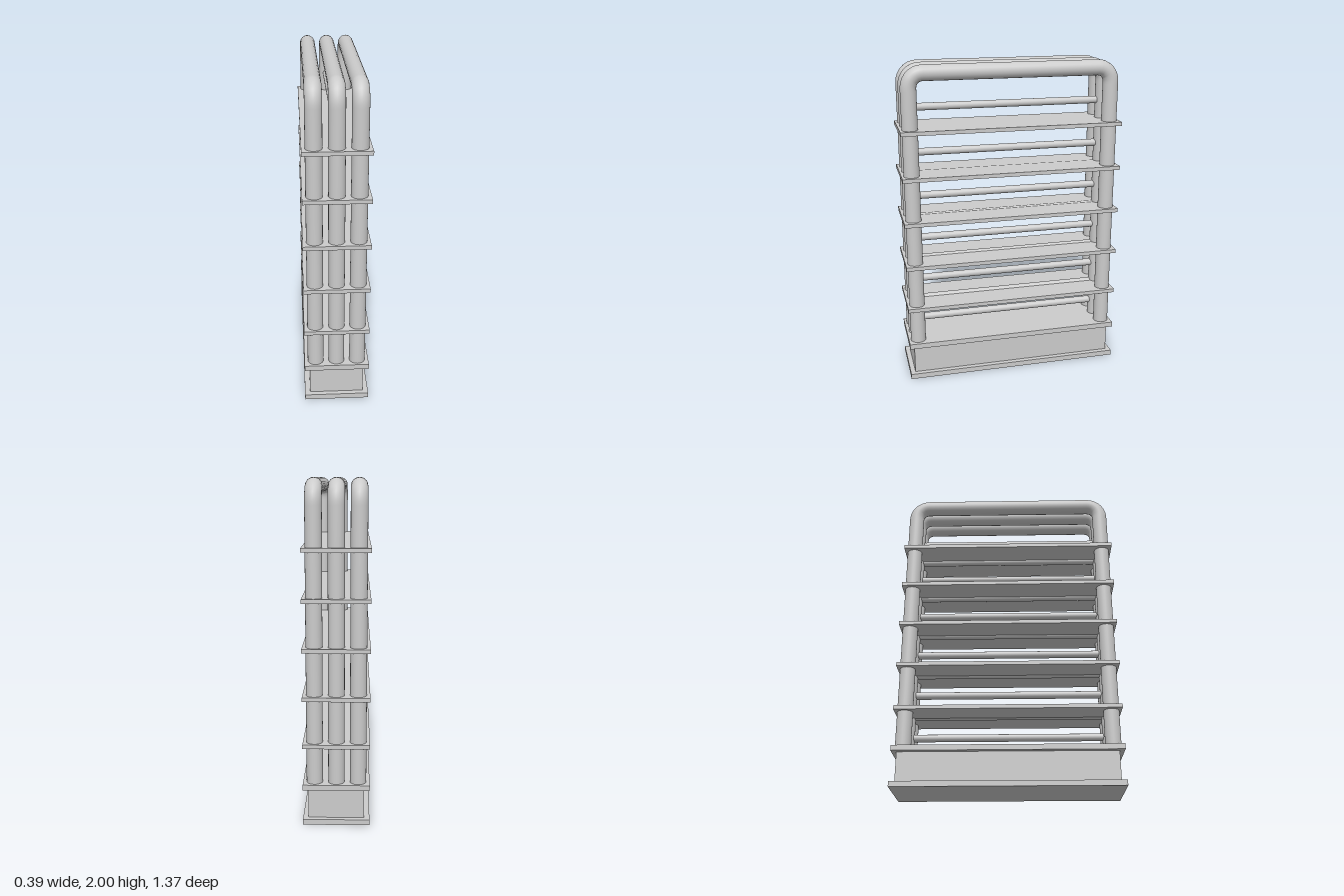
import * as THREE from 'three';

const material = new THREE.MeshStandardMaterial({ color: 0xcccccc, side: THREE.DoubleSide });

function add(parent, name, geometry, x, y, z) {
  const mesh = new THREE.Mesh(geometry, material);
  mesh.name = name;
  mesh.position.set(x, y, z);
  parent.add(mesh);
  return mesh;
}

// Upside-down U in the yz plane with rounded corners
function hoopPath(halfSpan, bottom, top, bend) {
  const v = (y, z) => new THREE.Vector3(0, y, z);
  const path = new THREE.CurvePath();
  const arc = (side) => {
    const points = [];
    for (let i = 0; i <= 10; i++) {
      const a = (i / 10) * Math.PI / 2;
      points.push(v(top - bend + bend * Math.sin(a), side * (halfSpan - bend + bend * Math.cos(a))));
    }
    return side > 0 ? points : points.reverse();
  };
  const points = [v(bottom, halfSpan), ...arc(1), ...arc(-1), v(bottom, -halfSpan)];
  for (let i = 1; i < points.length; i++) path.add(new THREE.LineCurve3(points[i - 1], points[i]));
  return path;
}

export function createModel() {
  const model = new THREE.Group();
  model.name = 'shelfRack';

  // Plinth: body between two wider plates
  add(model, 'basePlate', new THREE.BoxGeometry(0.39, 0.033, 1.37), 0, 0.0165, 0);
  add(model, 'baseBody', new THREE.BoxGeometry(0.326, 0.182, 1.31), 0, 0.124, 0);
  add(model, 'baseTopPlate', new THREE.BoxGeometry(0.39, 0.033, 1.37), 0, 0.2305, 0);

  // Three bent tube hoops
  const hoop = new THREE.TubeGeometry(hoopPath(0.623, 0.24, 1.952, 0.085), 240, 0.048, 24, false);
  [-0.127, 0, 0.127].forEach((x) => add(model, 'tubeHoop', hoop, x, 0, 0));

  // Thin shelves
  const shelf = new THREE.BoxGeometry(0.39, 0.024, 1.37);
  for (let i = 0; i < 5; i++) add(model, 'shelf', shelf, 0, 0.481 + i * 0.2818, 0);

  // Rungs across the middle hoop
  const rung = new THREE.CylinderGeometry(0.023, 0.023, 1.22, 20);
  rung.rotateX(Math.PI / 2);
  for (let i = 0; i < 11; i++) add(model, 'rung', rung, 0, 0.345 + i * 0.1389, 0);

  return model;
}
